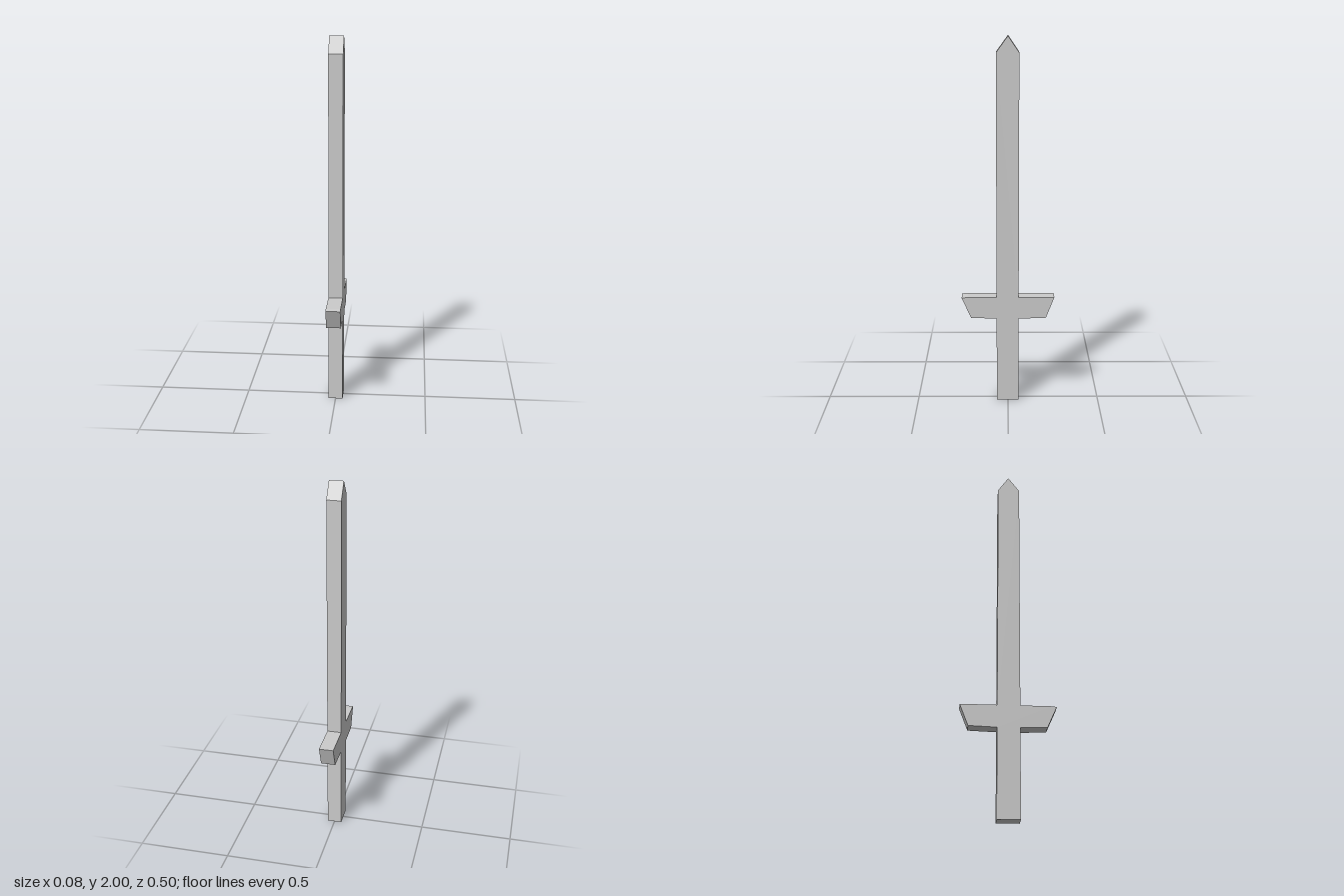
import * as THREE from 'three';

const material = new THREE.MeshStandardMaterial({ color: 0xcccccc, flatShading: true });
const THICKNESS = 0.079;

// Flat slab with a (z, y) outline, centred across x
function slab(name, outline) {
  const shape = new THREE.Shape(outline.map(([z, y]) => new THREE.Vector2(z, y)));
  const geometry = new THREE.ExtrudeGeometry(shape, { depth: THICKNESS, bevelEnabled: false });
  geometry.translate(0, 0, -THICKNESS / 2).rotateY(-Math.PI / 2);

  // The right face leans in very slightly towards the tip
  const p = geometry.attributes.position;
  for (let i = 0; i < p.count; i++) {
    if (p.getX(i) < 0) p.setX(i, p.getX(i) + 0.0015 * p.getY(i));
  }
  geometry.computeVertexNormals();

  const mesh = new THREE.Mesh(geometry, material);
  mesh.name = name;
  return mesh;
}

export function createModel() {
  const sword = new THREE.Group();
  sword.name = 'sword';

  const front = 0.062, back = -0.058;
  const gripTop = 0.478, guardTop = 0.6, shoulder = 1.915;

  // Straight handle
  sword.add(slab('grip', [[back, 0], [front, 0], [front, gripTop], [back, gripTop]]));

  // Crossguard, wider at the top
  sword.add(slab('crossguard', [
    [back, gripTop], [front, gripTop], [0.202, 0.483], [0.252, 0.597],
    [0.22, guardTop], [-0.252, guardTop], [-0.207, 0.483],
  ]));

  // Blade with a wedge tip
  sword.add(slab('blade', [
    [back, guardTop], [front, guardTop], [front, shoulder], [0, 2], [back, shoulder],
  ]));

  return sword;
}
